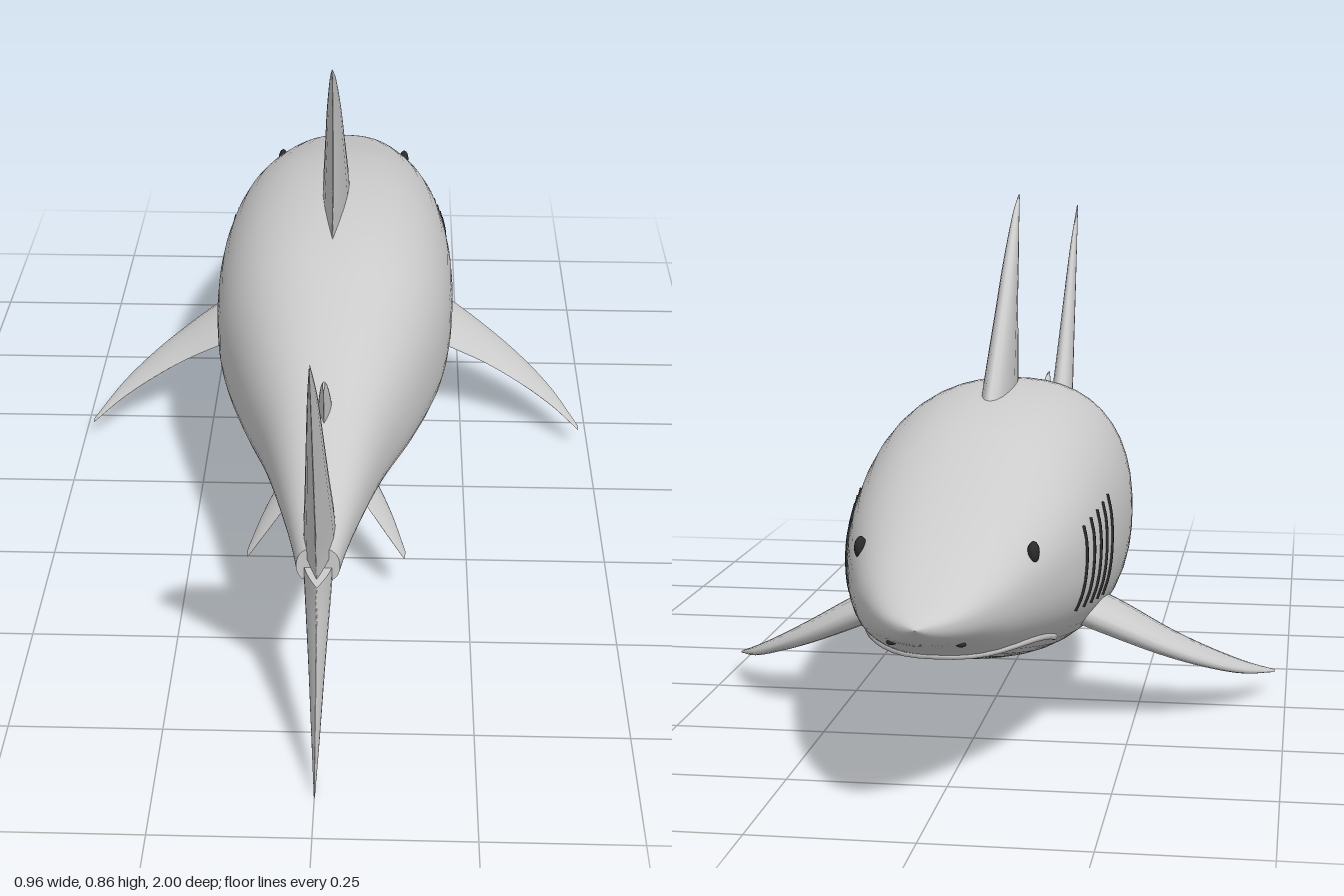
import * as THREE from 'three';

const skin = new THREE.MeshStandardMaterial({ color: 0xcccccc });
skin.name = 'grey skin';
const dark = new THREE.MeshStandardMaterial({ color: 0x2a2a2a });
dark.name = 'dark detail';

// Body stations: z, half width, top, bottom
const MID = 0.305, POWER = 2.35;
const BODY = [
  [-1.0, 0, 0.305, 0.305], [-0.99, 0.022, 0.315, 0.293], [-0.96, 0.052, 0.328, 0.275],
  [-0.9, 0.088, 0.354, 0.253], [-0.8, 0.13, 0.395, 0.215], [-0.6, 0.185, 0.462, 0.16],
  [-0.4, 0.215, 0.518, 0.115], [-0.2, 0.226, 0.541, 0.093], [0, 0.212, 0.53, 0.103],
  [0.2, 0.165, 0.482, 0.152], [0.4, 0.105, 0.422, 0.21], [0.6, 0.058, 0.364, 0.258],
  [0.68, 0.042, 0.345, 0.27], [0.73, 0.034, 0.34, 0.275],
];

// Smooth interpolation of station rows by their first column
function sample(rows, t) {
  let i = 0;
  while (i < rows.length - 2 && t > rows[i + 1][0]) i++;
  const a = rows[i], b = rows[i + 1], h = b[0] - a[0], u = (t - a[0]) / h;
  const p = rows[Math.max(i - 1, 0)], q = rows[Math.min(i + 2, rows.length - 1)];
  return a.map((v, k) => {
    const m0 = (b[k] - p[k]) / (b[0] - p[0]) * h, m1 = (q[k] - v) / (q[0] - a[0]) * h;
    const u2 = u * u, u3 = u2 * u;
    return (2 * u3 - 3 * u2 + 1) * v + (u3 - 2 * u2 + u) * m0 + (3 * u2 - 2 * u3) * b[k] + (u3 - u2) * m1;
  });
}

// Points on the body's skin
const bend = (d) => Math.pow(Math.max(0, 1 - Math.pow(Math.min(1, Math.abs(d)), POWER)), 1 / POWER);
function sidePoint(z, y, out = 0) {
  const [, w, top, bottom] = sample(BODY, z);
  return new THREE.Vector3(w * bend((y - MID) / (y > MID ? top - MID : MID - bottom)) + out, y, z);
}
function bellyPoint(z, x, out = 0) {
  const [, w, , bottom] = sample(BODY, z);
  return new THREE.Vector3(x, MID - (MID - bottom) * bend(x / w) - out, z);
}

// Closed surface through equal rings of points, facing outwards
function loft(rings) {
  const n = rings[0].length, pts = rings.flat(), index = [];
  const centre = (r) => r.reduce((s, p) => s.add(p), new THREE.Vector3()).divideScalar(n);
  for (let i = 0; i < rings.length - 1; i++) {
    for (let j = 0; j < n; j++) {
      const a = i * n + j, b = i * n + (j + 1) % n;
      index.push(a, b, a + n, b, b + n, a + n);
    }
  }
  [0, rings.length - 1].forEach((r, end) => {
    const first = pts.length;
    pts.push(...rings[r].map((p) => p.clone()), centre(rings[r]));
    for (let j = 0; j < n; j++) {
      const a = first + j, b = first + (j + 1) % n;
      index.push(first + n, ...(end ? [a, b] : [b, a]));
    }
  });
  let volume = 0;
  for (let i = 0; i < index.length; i += 3) {
    const [a, b, c] = [pts[index[i]], pts[index[i + 1]], pts[index[i + 2]]];
    volume += a.dot(b.clone().cross(c));
  }
  if (volume < 0) index.reverse();
  const geometry = new THREE.BufferGeometry().setFromPoints(pts);
  geometry.setIndex(index);
  geometry.computeVertexNormals();
  return geometry;
}

function bodyGeometry() {
  const rings = [];
  for (let i = 0; i <= 64; i++) {
    const t = i / 64;
    const [z, w, top, bottom] = sample(BODY, -1 + 1.73 * Math.pow(t, 1.4));
    rings.push(Array.from({ length: 48 }, (_, j) => {
      const a = j / 48 * Math.PI * 2, c = Math.cos(a), s = Math.sin(a);
      const r = Math.pow(Math.pow(Math.abs(c), POWER) + Math.pow(Math.abs(s), POWER), -1 / POWER);
      return new THREE.Vector3(w * r * c, MID + (s > 0 ? top - MID : MID - bottom) * r * s, z);
    }));
  }
  return loft(rings);
}

// Fin with a teardrop section; stations: x, y, front z, back z, half thickness
function finGeometry(stations) {
  const first = stations[0], last = stations[stations.length - 1];
  const span = new THREE.Vector2(last[0] - first[0], last[1] - first[1]).normalize();
  const rows = stations.map((s, i) => [i, ...s]);
  const rings = [], steps = (stations.length - 1) * 5;
  for (let i = 0; i <= steps; i++) {
    const [, x, y, front, back, thick] = sample(rows, i / 5);
    rings.push(Array.from({ length: 20 }, (_, j) => {
      const a = j / 20 * Math.PI * 2, u = (1 - Math.cos(a)) / 2;
      const d = Math.sign(Math.sin(a)) * Math.sqrt(u) * (1 - u) * 2.6 * thick;
      return new THREE.Vector3(x + span.y * d, y - span.x * d, front + (back - front) * u);
    }));
  }
  return loft(rings);
}

const FINS = {
  dorsalFin: [[0, 0.48, -0.37, 0.025, 0.027], [0, 0.54, -0.315, 0.012, 0.025], [0, 0.66, -0.19, -0.008, 0.018],
    [0, 0.745, -0.105, -0.006, 0.013], [0, 0.825, -0.022, 0.018, 0.006], [0, 0.86, 0.03, 0.045, 0.001]],
  rearDorsalFin: [[0, 0.385, 0.365, 0.455, 0.013], [0, 0.43, 0.405, 0.468, 0.01], [0, 0.465, 0.435, 0.482, 0.006],
    [0, 0.48, 0.455, 0.49, 0.002]],
  analFin: [[0, 0.25, 0.38, 0.46, 0.013], [0, 0.205, 0.425, 0.49, 0.01], [0, 0.175, 0.46, 0.515, 0.006],
    [0, 0.16, 0.485, 0.522, 0.002]],
  upperTailLobe: [[0, 0.318, 0.6, 0.785, 0.026], [0, 0.365, 0.62, 0.80, 0.024], [0, 0.48, 0.71, 0.85, 0.018],
    [0, 0.61, 0.81, 0.91, 0.012], [0, 0.71, 0.89, 0.955, 0.007], [0, 0.797, 0.98, 1.0, 0.001]],
  lowerTailLobe: [[0, 0.303, 0.67, 0.785, 0.024], [0, 0.25, 0.71, 0.798, 0.02], [0, 0.16, 0.77, 0.835, 0.013],
    [0, 0.06, 0.84, 0.882, 0.006], [0, 0, 0.898, 0.91, 0.001]],
};
const PAIRED_FINS = {
  pectoralFin: [[0.14, 0.215, -0.47, -0.25, 0.027], [0.22, 0.175, -0.44, -0.245, 0.024],
    [0.30, 0.133, -0.40, -0.25, 0.018], [0.37, 0.097, -0.347, -0.232, 0.012],
    [0.43, 0.066, -0.273, -0.2, 0.007], [0.48, 0.04, -0.17, -0.152, 0.001]],
  pelvicFin: [[0.045, 0.185, 0.17, 0.30, 0.016], [0.08, 0.145, 0.22, 0.33, 0.012],
    [0.11, 0.112, 0.275, 0.355, 0.008], [0.137, 0.082, 0.345, 0.375, 0.002]],
};

export function createModel() {
  const model = new THREE.Group();
  model.name = 'shark';
  const add = (name, geometry, material, parent = model) => {
    const mesh = new THREE.Mesh(geometry, material);
    mesh.name = name;
    parent.add(mesh);
    return mesh;
  };
  const tube = (points, radius) =>
    new THREE.TubeGeometry(new THREE.CatmullRomCurve3(points), 24, radius, 6);

  add('body', bodyGeometry(), skin);
  for (const [name, stations] of Object.entries(FINS)) add(name, finGeometry(stations), skin);

  // Curved lip under the snout
  const lip = [];
  for (let i = 0; i <= 16; i++) {
    const a = (i / 16 - 0.5) * Math.PI;
    lip.push(bellyPoint(-0.59 - 0.24 * Math.cos(a), 0.143 * Math.sin(a), 0));
  }
  add('lip', tube(lip, 0.006), skin);

  // Paired parts, mirrored across x
  for (const side of [1, -1]) {
    const prefix = side > 0 ? 'left' : 'right';
    const flip = (p) => p.setX(p.x * side);
    for (const [name, stations] of Object.entries(PAIRED_FINS)) {
      const mirrored = stations.map(([x, ...rest]) => [x * side, ...rest]);
      add(prefix + name[0].toUpperCase() + name.slice(1), finGeometry(mirrored), skin);
    }

    const eye = add(prefix + 'Eye', new THREE.SphereGeometry(0.017, 20, 14), dark);
    eye.position.copy(flip(sidePoint(-0.745, 0.365)));
    eye.scale.x = 0.55;

    const nostril = add(prefix + 'Nostril', new THREE.SphereGeometry(0.008, 10, 8), dark);
    nostril.position.copy(flip(bellyPoint(-0.915, 0.05)));
    nostril.scale.set(1, 0.5, 0.7);

    // Five gill slits following the flank
    const gills = new THREE.Group();
    gills.name = prefix + 'Gills';
    model.add(gills);
    for (let g = 0; g < 5; g++) {
      const points = [];
      for (let k = 0; k <= 6; k++) {
        const t = k / 6, y = THREE.MathUtils.lerp(0.39 - g * 0.005, 0.228 + g * 0.003, t);
        points.push(flip(sidePoint(-0.39 - g * 0.042 - 0.03 * Math.pow(t, 1.3), y)));
      }
      add('gillSlit', tube(points, 0.0035), dark, gills);
    }
  }
  return model;
}
